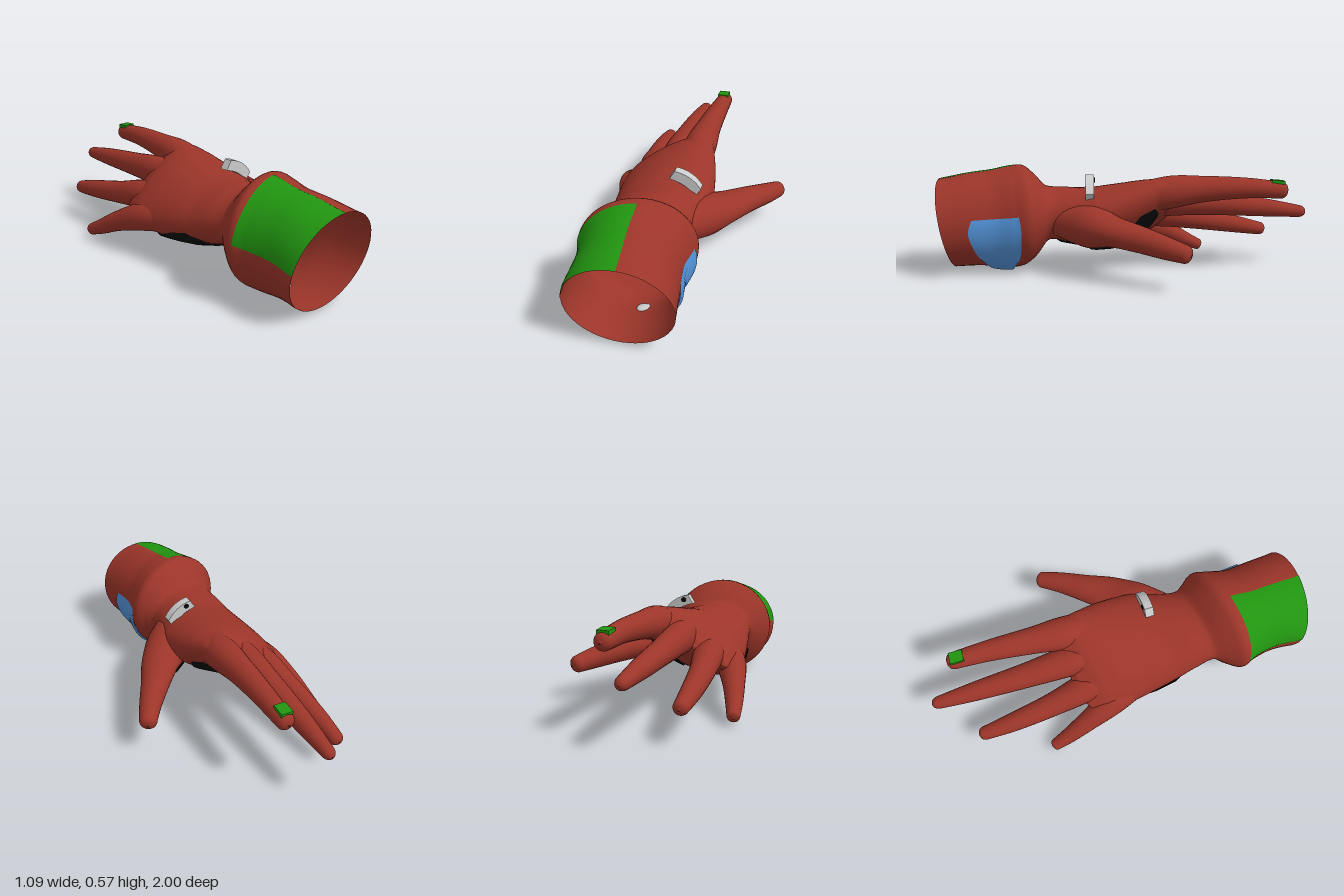
import * as THREE from 'three';
import { ParametricGeometry } from 'three/addons/geometries/ParametricGeometry.js';

const mat = (color) => new THREE.MeshStandardMaterial({ color, side: THREE.DoubleSide });
const RED = mat(0x9c3529), GREEN = mat(0x219410), BLUE = mat(0x5596dd), BLACK = mat(0x0c0c0c), GREY = mat(0xcccccc);
const DEG = Math.PI / 180;

// Catmull-Rom blend of number rows, t in row units
function blend(rows, t) {
  const n = rows.length - 1;
  const i = Math.min(Math.max(Math.floor(t), 0), n - 1), f = t - i;
  const at = (k) => rows[Math.min(Math.max(k, 0), n)];
  const [p, q, r, s] = [at(i - 1), at(i), at(i + 1), at(i + 2)];
  return q.map((_, k) => q[k] + 0.5 * f * (r[k] - p[k]
    + f * (2 * p[k] - 5 * q[k] + 4 * r[k] - s[k] + f * (3 * (q[k] - r[k]) + s[k] - p[k]))));
}

// Cuff, wrist and palm sections: z, centre x, centre y, half width, half height, roll, mouth slant
const SECTIONS = [
  [0.93, -0.285, 0.26, 0.255, 0.24, 0, 1],
  [0.8, -0.265, 0.275, 0.25, 0.252, 0, 0.4],
  [0.7, -0.25, 0.28, 0.25, 0.262, 0, 0],
  [0.6, -0.23, 0.287, 0.27, 0.276, 0, 0],
  [0.53, -0.222, 0.298, 0.288, 0.272, 0, 0],
  [0.47, -0.21, 0.3, 0.25, 0.222, 0, 0],
  [0.41, -0.19, 0.31, 0.212, 0.148, 0, 0],
  [0.3, -0.16, 0.3, 0.232, 0.15, 0.06, 0],
  [0.2, -0.13, 0.29, 0.26, 0.157, 0.18, 0],
  [0.05, -0.115, 0.3, 0.276, 0.155, 0.36, 0],
  [-0.1, -0.11, 0.32, 0.285, 0.132, 0.5, 0],
  [-0.2, -0.11, 0.335, 0.28, 0.094, 0.55, 0],
  [-0.28, -0.11, 0.335, 0.225, 0.045, 0.55, 0],
  [-0.31, -0.11, 0.335, 0.15, 0.004, 0.55, 0],
];

function sectionAt(z) {
  let i = 0;
  while (i < SECTIONS.length - 2 && z < SECTIONS[i + 1][0]) i++;
  return blend(SECTIONS, i + (SECTIONS[i][0] - z) / (SECTIONS[i][0] - SECTIONS[i + 1][0]));
}

function bodySurface(angle, z, grow, target) {
  const [, cx, cy, a, b, roll, slant] = sectionAt(z);
  const px = (a + grow) * Math.cos(angle), py = (b + grow) * Math.sin(angle);
  const dx = px * Math.cos(roll) - py * Math.sin(roll);
  const dy = px * Math.sin(roll) + py * Math.cos(roll);
  return target.set(cx + dx, cy + dy, z + slant * (0.2 * dx + 0.18 * dy));
}

function insideBody(p) {
  if (p.z < -0.29) return false;
  const [, cx, cy, a, b, roll] = sectionAt(p.z);
  const c = Math.cos(roll), s = Math.sin(roll), dx = p.x - cx, dy = p.y - cy;
  return ((dx * c + dy * s) / a) ** 2 + ((dy * c - dx * s) / b) ** 2 < 0.92;
}

// Tapered finger with a rounded tip; rows are x, y, z, half width and, where flattened, half height
function fingerSurface(rows) {
  const n = rows.length - 1;
  const pos = (t) => new THREE.Vector3(...blend(rows, t * n).slice(0, 3));
  return (angle, t, grow, target) => {
    const tangent = pos(Math.min(t + 0.01, 1)).sub(pos(Math.max(t - 0.01, 0))).normalize();
    const side = tangent.clone().cross(new THREE.Vector3(0, 1, 0)).normalize();
    const up = side.clone().cross(tangent);
    const cap = t > 0.94 ? Math.max(0.04, Math.sqrt(Math.max(0, 1 - ((t - 0.94) / 0.06) ** 2))) : 1;
    const [x, y, z, rx, ry = rx] = blend(rows, t * n);
    return target.set(x, y, z).addScaledVector(side, (rx * cap + grow) * Math.cos(angle))
      .addScaledVector(up, (ry * cap + grow) * Math.sin(angle));
  };
}

const FINGERS = {
  indexFinger: [[0.0, 0.375, 0.06, 0.07], [0.065, 0.43, -0.2, 0.088], [0.115, 0.45, -0.4, 0.07],
    [0.175, 0.455, -0.62, 0.055], [0.228, 0.44, -0.83, 0.043]],
  middleFinger: [[-0.1, 0.33, 0.06, 0.08], [-0.06, 0.365, -0.22, 0.084], [-0.005, 0.35, -0.5, 0.066],
    [0.06, 0.325, -0.78, 0.05], [0.115, 0.3, -1, 0.03]],
  ringFinger: [[-0.19, 0.28, 0.06, 0.075], [-0.195, 0.28, -0.22, 0.08], [-0.18, 0.24, -0.45, 0.063],
    [-0.15, 0.2, -0.68, 0.05], [-0.115, 0.165, -0.865, 0.034]],
  littleFinger: [[-0.28, 0.24, 0.08, 0.07], [-0.31, 0.21, -0.15, 0.075], [-0.328, 0.15, -0.32, 0.056],
    [-0.335, 0.085, -0.45, 0.042], [-0.335, 0.04, -0.55, 0.03]],
  thumb: [[-0.06, 0.28, 0.36, 0.08, 0.08], [0.08, 0.27, 0.22, 0.116, 0.112], [0.21, 0.258, 0.12, 0.1, 0.078],
    [0.32, 0.238, 0.02, 0.076, 0.067], [0.43, 0.212, -0.08, 0.057, 0.057], [0.525, 0.186, -0.18, 0.042, 0.042]],
};

const insideFinger = (p) => Object.values(FINGERS).some((rows) => {
  for (let t = 0.2; t < rows.length - 1; t += 0.05) {
    const [x, y, z, rx, ry = rx] = blend(rows, t);
    if (Math.hypot(p.x - x, p.y - y, p.z - z) < Math.min(rx, ry) * 0.88) return true;
  }
  return false;
});

// Drop the triangles that lie wholly inside another part, so the glove stays hollow
function trim(geometry, inside) {
  const position = geometry.attributes.position, old = geometry.index.array, kept = [];
  const hidden = Array.from({ length: position.count }, (_, i) =>
    inside(new THREE.Vector3().fromBufferAttribute(position, i)));
  for (let i = 0; i < old.length; i += 3) {
    const triangle = [old[i], old[i + 1], old[i + 2]];
    if (!triangle.every((k) => hidden[k])) kept.push(...triangle);
  }
  geometry.setIndex(kept);
  return geometry;
}

export function createModel() {
  const group = new THREE.Group();
  const add = (name, geometry, material) => {
    const mesh = new THREE.Mesh(geometry, material);
    mesh.name = name;
    group.add(mesh);
    return mesh;
  };

  // Panel laid on a surface; rows are angle in degrees, start and end along the surface
  const panel = (name, material, surface, rows, lift) => {
    const edge = (k) => k < 0.03 || k > 0.97;
    add(name, new ParametricGeometry((u, v, target) => {
      const [angle, from, to] = blend(rows, u * (rows.length - 1));
      const grow = edge(u) || edge(v) ? 0.002 : lift;
      surface(angle * DEG, from + (to - from) * v, grow, target);
    }, 20, 14), material);
  };

  // Hollow cuff and palm, open at the front
  add('cuffAndPalm', trim(new ParametricGeometry((u, v, target) =>
    bodySurface(-u * Math.PI * 2, 0.93 - 1.24 * v, 0, target), 48, 80), insideFinger), RED);

  // Fingers and thumb
  const surfaces = {};
  for (const [name, rows] of Object.entries(FINGERS)) {
    const surface = surfaces[name] = fingerSurface(rows);
    add(name, trim(new ParametricGeometry((u, v, target) =>
      surface(-u * Math.PI * 2, 1 - (1 - v) ** 1.4, 0, target), 24, 56), insideBody), RED);
  }

  // Cuff panels
  panel('greenCuffPanel', GREEN, bodySurface, [[88, 0.575, 0.93], [130, 0.57, 0.93], [176, 0.55, 0.93]], 0.005);
  panel('blueCuffPanel', BLUE, bodySurface, [[8, 0.585, 0.8], [-10, 0.575, 0.82], [-40, 0.575, 0.79],
    [-62, 0.59, 0.74], [-80, 0.61, 0.68]], 0.016);

  // Palm grip pads
  panel('heelPad', BLACK, bodySurface, [[-178, 0.08, 0.18], [-155, -0.06, 0.26], [-115, 0.03, 0.32],
    [-82, 0.13, 0.36], [-64, 0.22, 0.32]], 0.01);
  panel('knucklePad', BLACK, bodySurface, [[-92, -0.11, -0.03], [-66, -0.16, 0.01], [-42, -0.12, -0.04]], 0.01);
  panel('thumbPad', BLACK, surfaces.thumb, [[-160, 0.24, 0.36], [-125, 0.15, 0.43], [-88, 0.2, 0.38]], 0.01);

  // Button under the cuff
  const button = add('cuffButton', new THREE.SphereGeometry(0.038, 16, 10), GREY);
  button.scale.set(1, 0.35, 0.8);
  button.position.set(-0.195, 0.015, 0.65);

  // Arched bracket on the back of the hand
  const arch = new THREE.Shape();
  arch.moveTo(-0.08, -0.03);
  arch.lineTo(-0.08, 0.025);
  arch.quadraticCurveTo(0, 0.06, 0.08, 0.02);
  arch.lineTo(0.08, -0.03);
  arch.quadraticCurveTo(0, 0.0, -0.08, -0.03);
  const bracket = new THREE.Group();
  bracket.name = 'bracket';
  bracket.position.set(0.0, 0.463, 0.205);
  bracket.rotation.set(0, -0.2, -0.55, 'YXZ');
  const plate = add('bracketPlate', new THREE.ExtrudeGeometry(arch, { depth: 0.046, bevelEnabled: false, curveSegments: 8 }), GREY);
  plate.position.z = -0.023;
  const socket = add('bracketSocket', new THREE.CylinderGeometry(0.014, 0.014, 0.006, 12), BLACK);
  socket.rotation.x = Math.PI / 2;
  socket.position.set(-0.045, 0.015, -0.025);
  bracket.add(plate, socket);
  group.add(bracket);

  // Pad on the index fingertip
  const tip = add('fingertipPad', new THREE.BoxGeometry(0.06, 0.02, 0.07), GREEN);
  tip.position.set(0.212, 0.487, -0.775);
  tip.rotation.set(-0.08, -0.24, 0);

  return group;
}
